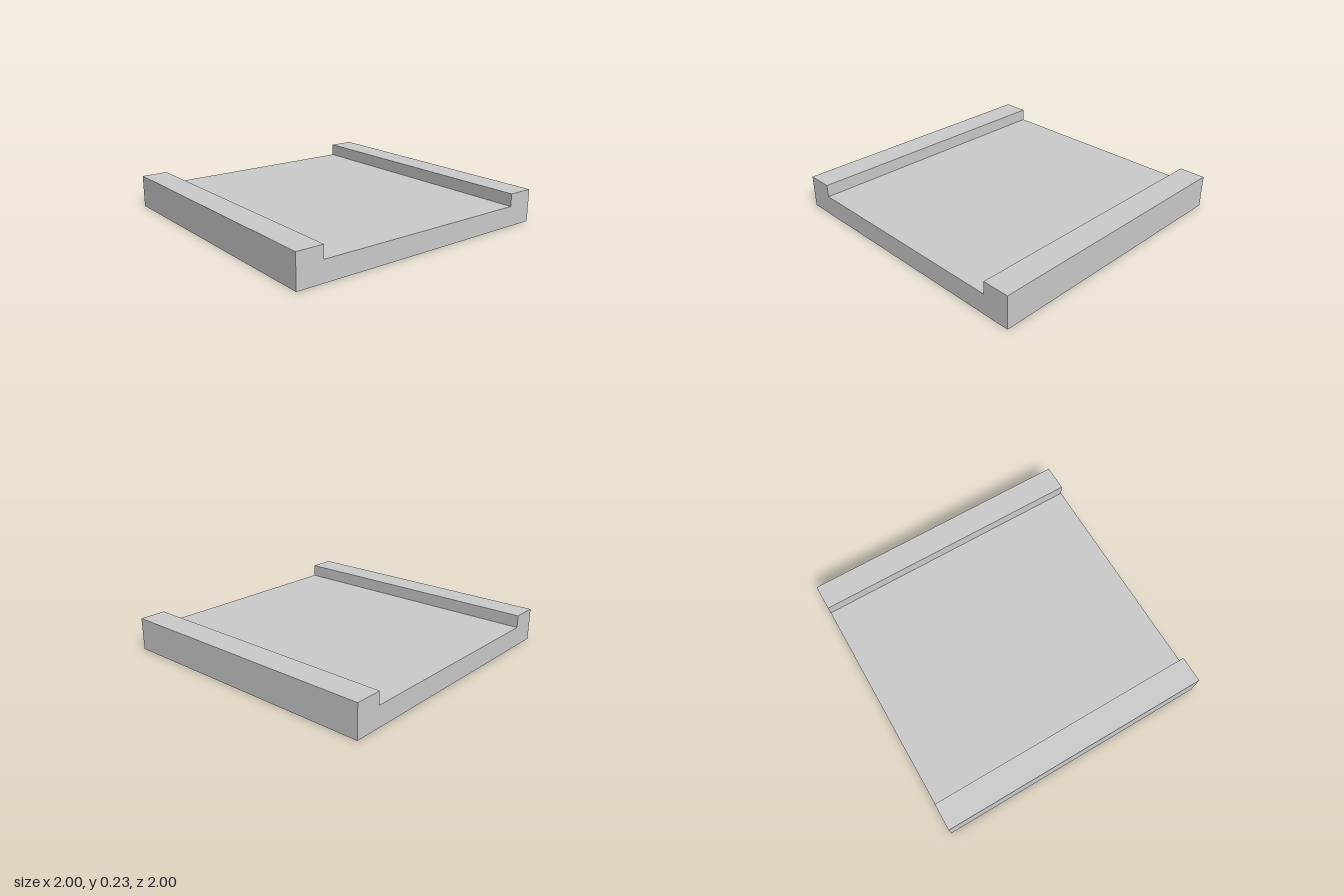
import * as THREE from 'three';

const HALF = 1;         // half width and half depth
const INNER = 0.808;    // inner face of each side rail
const FLOOR = 0.145;    // height of the sunken deck
const HEIGHT = 0.235;   // height of the rails

export function createModel() {
  const group = new THREE.Group();
  group.name = 'channelSlab';

  // U-shaped cross-section, extruded from back to front
  const profile = new THREE.Shape([
    [-HALF, 0], [HALF, 0], [HALF, HEIGHT], [INNER, HEIGHT],
    [INNER, FLOOR], [-INNER, FLOOR], [-INNER, HEIGHT], [-HALF, HEIGHT],
  ].map(([x, y]) => new THREE.Vector2(x, y)));

  const geometry = new THREE.ExtrudeGeometry(profile, { depth: 2 * HALF, bevelEnabled: false });
  geometry.translate(0, 0, -HALF);

  // Deck and both side rails form one solid piece
  const slab = new THREE.Mesh(
    geometry,
    new THREE.MeshStandardMaterial({ color: 0xcccccc, flatShading: true }),
  );
  slab.name = 'deckWithSideRails';
  group.add(slab);

  return group;
}
